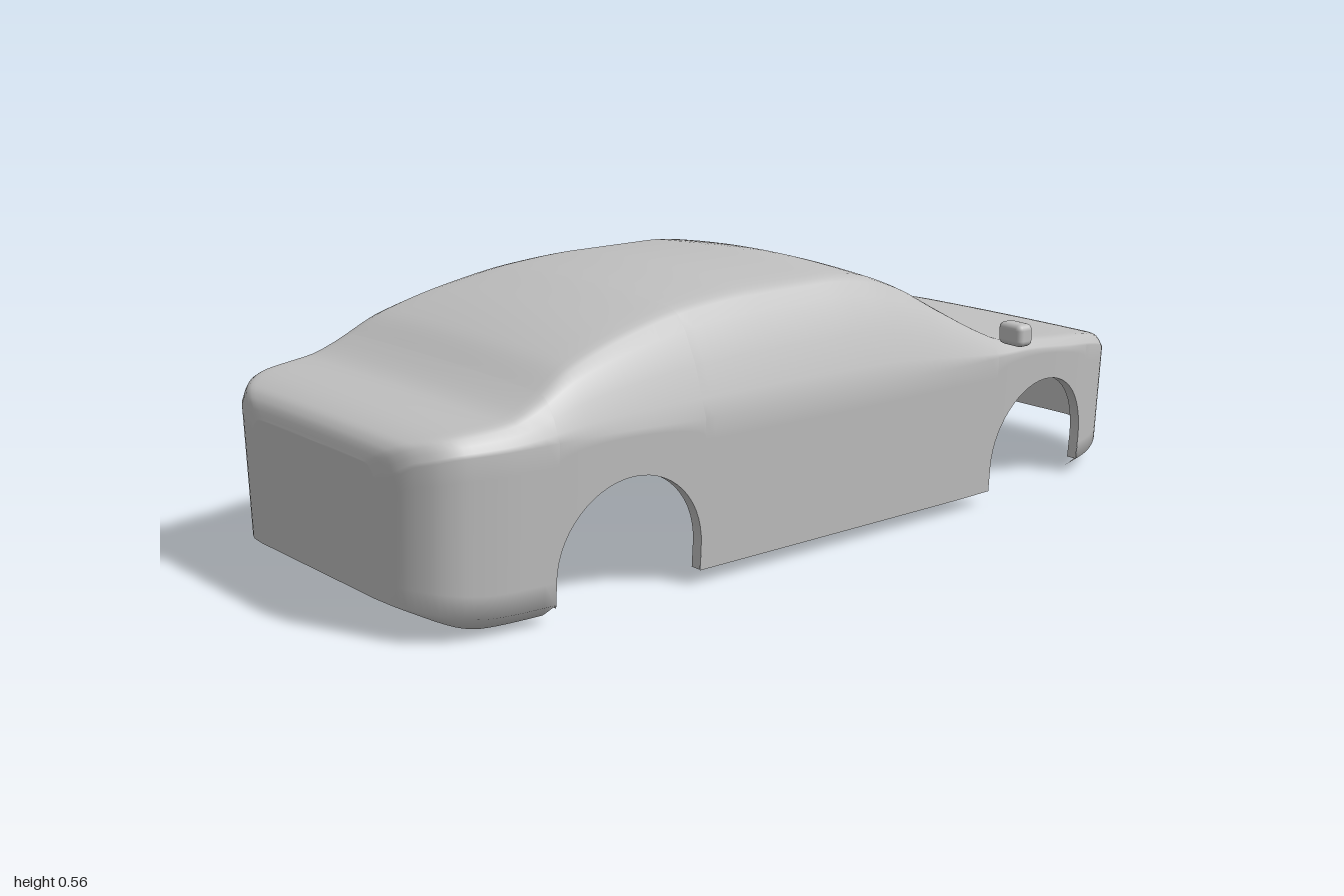
import * as THREE from 'three';
import { mergeVertices } from 'three/addons/utils/BufferGeometryUtils.js';
import { RoundedBoxGeometry } from 'three/addons/geometries/RoundedBoxGeometry.js';

// Smooth, overshoot-free interpolation through [x, value] pairs
function curve(pts) {
  const n = pts.length;
  const d = pts.slice(1).map((p, i) => (p[1] - pts[i][1]) / (p[0] - pts[i][0]));
  const m = pts.map((_, i) => {
    if (i === 0) return d[0];
    if (i === n - 1) return d[n - 2];
    return d[i - 1] * d[i] <= 0 ? 0 : (2 * d[i - 1] * d[i]) / (d[i - 1] + d[i]);
  });
  return (x) => {
    let i = 0;
    while (i < n - 2 && x > pts[i + 1][0]) i++;
    const h = pts[i + 1][0] - pts[i][0];
    const t = THREE.MathUtils.clamp((x - pts[i][0]) / h, 0, 1), t2 = t * t, t3 = t2 * t;
    return (2 * t3 - 3 * t2 + 1) * pts[i][1] + (t3 - 2 * t2 + t) * h * m[i]
      + (3 * t2 - 2 * t3) * pts[i + 1][1] + (t3 - t2) * h * m[i + 1];
  };
}

// Half width, shoulder height and centre-line height along the car
const halfWidth = curve([[-1, 0.22], [-0.99, 0.275], [-0.97, 0.315], [-0.94, 0.348], [-0.9, 0.368],
  [-0.8, 0.385], [-0.65, 0.39], [0.3, 0.39], [0.45, 0.386], [0.6, 0.373], [0.7, 0.358],
  [0.8, 0.33], [0.87, 0.297], [0.93, 0.25], [0.97, 0.195], [0.99, 0.145], [1, 0.1]]);
const shoulder = curve([[-1, 0.3], [-0.97, 0.335], [-0.9, 0.348], [-0.7, 0.348], [-0.3, 0.335],
  [0.2, 0.33], [0.5, 0.332], [0.7, 0.312], [0.8, 0.297], [0.9, 0.27], [0.97, 0.235], [1, 0.19]]);
const top = curve([[-1, 0.325], [-0.99, 0.352], [-0.97, 0.37], [-0.92, 0.384], [-0.8, 0.398], [-0.75, 0.418],
  [-0.65, 0.475], [-0.5, 0.522], [-0.35, 0.55], [-0.2, 0.56], [0, 0.56], [0.1, 0.549], [0.2, 0.512],
  [0.3, 0.451], [0.4, 0.392], [0.46, 0.366], [0.6, 0.348], [0.75, 0.33], [0.85, 0.312],
  [0.93, 0.288], [0.97, 0.262], [0.99, 0.235], [1, 0.205]]);
const bumperBottom = curve([[-1, 0.075], [-0.84, 0.012], [-0.72, 0.01], [0.765, 0.004],
  [0.84, 0.01], [0.93, 0.035], [1, 0.056]]);
const tuckIn = curve([[-1, 0], [-0.84, 0.042], [-0.72, 0.042], [0.765, 0.042], [0.86, 0.035], [1, 0]]);

const archBottom = (cx, r) => (x) => 0.087 + Math.sqrt(Math.max(0, r * r - (x - cx) ** 2));
const even = (t) => t;
const cosine = (t) => (1 - Math.cos(Math.PI * t)) / 2;
const SEGMENTS = [
  { from: -1, to: -0.721, n: 22, ease: (t) => t * t, bottom: bumperBottom, tuck: tuckIn },
  { from: -0.721, to: -0.385, n: 28, ease: cosine, bottom: archBottom(-0.553, 0.168), arch: true },
  { from: -0.385, to: 0.425, n: 36, ease: even, bottom: () => 0.034 },
  { from: 0.425, to: 0.765, n: 28, ease: cosine, bottom: archBottom(0.595, 0.17), arch: true },
  { from: 0.765, to: 1, n: 24, ease: (t) => 1 - (1 - t) ** 2, bottom: bumperBottom, tuck: tuckIn },
];

// Upper section: [fixed inset, inset per height, height fraction]
const UPPER = [[0, 0, 0], [0.003, 0.04, 0.17], [0.006, 0.12, 0.47], [0.012, 0.235, 0.76],
  [0.02, 0.3, 0.89], [0.031, 0.318, 0.925], [0.045, 0.34, 0.945]];

// Full cross-section from the left sill over the roof to the right sill
function section(x, seg) {
  const w = halfWidth(x), s = shoulder(x), h = top(x) - s;
  const yb = seg.bottom(x), tuck = seg.tuck ? seg.tuck(x) : 0;
  const sideZ = (y) => w - 0.065 * Math.max(0, s - y) * Math.min(1, w / 0.3);
  const half = [[sideZ(yb) - tuck, yb]];
  const y0 = yb + tuck * 0.75;
  for (let i = 0; i < 7; i++) {
    const y = y0 + (s - y0) * i / 7;
    half.push([sideZ(y), y]);
  }
  UPPER.forEach(([a, b, f]) => half.push([w - a - b * h, s + f * h]));
  const edge = half[half.length - 1][0];
  for (let k = 0.85; k > 0.01; k -= 0.17) half.push([edge * k, s + h * (0.945 + 0.055 * (1 - k * k))]);
  const right = half.map(([z, y]) => [-z, y]).reverse();
  return [...half, [0, s + h], ...right].map(([z, y]) => [x, y, z]);
}

function geometryFrom(positions, index) {
  const g = new THREE.BufferGeometry();
  g.setAttribute('position', new THREE.Float32BufferAttribute(positions.flat(), 3));
  g.setIndex(index);
  const merged = mergeVertices(g, 1e-5);
  merged.computeVertexNormals();
  return merged;
}

const columnsOf = (seg) => Array.from({ length: seg.n + 1 }, (_, i) =>
  section(seg.from + (seg.to - seg.from) * seg.ease(i / seg.n), seg));

function shellGeometry() {
  const positions = [], index = [];
  SEGMENTS.forEach((seg, si) => {
    const cols = columnsOf(seg), base = positions.length, m = cols[0].length;
    cols.forEach((c) => positions.push(...c));
    for (let i = 0; i < seg.n; i++) for (let j = 0; j < m - 1; j++) {
      const a = base + i * m + j, b = a + m;
      index.push(a, b, a + 1, b, b + 1, a + 1);
    }
    // Flat nose and tail close the ends
    const front = si === SEGMENTS.length - 1;
    if (!front && si !== 0) return;
    const start = base + (front ? seg.n * m : 0);
    for (let j = 0; j < (m - 1) / 2; j++) {
      const l = start + j, r = start + m - 1 - j;
      if (front) index.push(r, r - 1, l, r - 1, l + 1, l);
      else index.push(r, l, r - 1, r - 1, l, l + 1);
    }
  });
  return geometryFrom(positions, index);
}

// Narrow flange turned inward around a wheel opening
function lipGeometry(seg, side) {
  const edge = columnsOf(seg).map((c) => c[0]);
  const path = [[seg.from, 0.035, edge[0][2] - 0.004], ...edge,
    [seg.to, 0.035, edge[edge.length - 1][2] - 0.004]];
  const positions = [], index = [];
  path.forEach(([x, y, z], i) => {
    positions.push([x, y, z * side], [x, y, (z - 0.025) * side]);
    if (i) {
      const a = 2 * i - 2;
      index.push(a, a + 1, a + 2, a + 1, a + 3, a + 2);
    }
  });
  return geometryFrom(positions, index);
}

export function createModel() {
  const group = new THREE.Group();
  group.name = 'carBody';
  const paint = new THREE.MeshStandardMaterial({ color: 0xc0c0c0, side: THREE.DoubleSide });
  paint.name = 'lightGrey';
  const add = (name, geometry) => {
    const mesh = new THREE.Mesh(geometry, paint);
    mesh.name = name;
    group.add(mesh);
    return mesh;
  };

  add('bodyShell', shellGeometry());
  for (const [side, label] of [[1, 'right'], [-1, 'left']]) {
    SEGMENTS.filter((s) => s.arch).forEach((seg) =>
      add(label + (seg.from > 0 ? 'Front' : 'Rear') + 'ArchLip', lipGeometry(seg, side)));
    // Door mirror, slightly swept back
    const mirror = add(label + 'Mirror', new RoundedBoxGeometry(0.042, 0.048, 0.068, 3, 0.013));
    mirror.position.set(0.433, 0.39, 0.423 * side);
    mirror.rotation.y = -0.08 * side;
  }
  return group;
}
